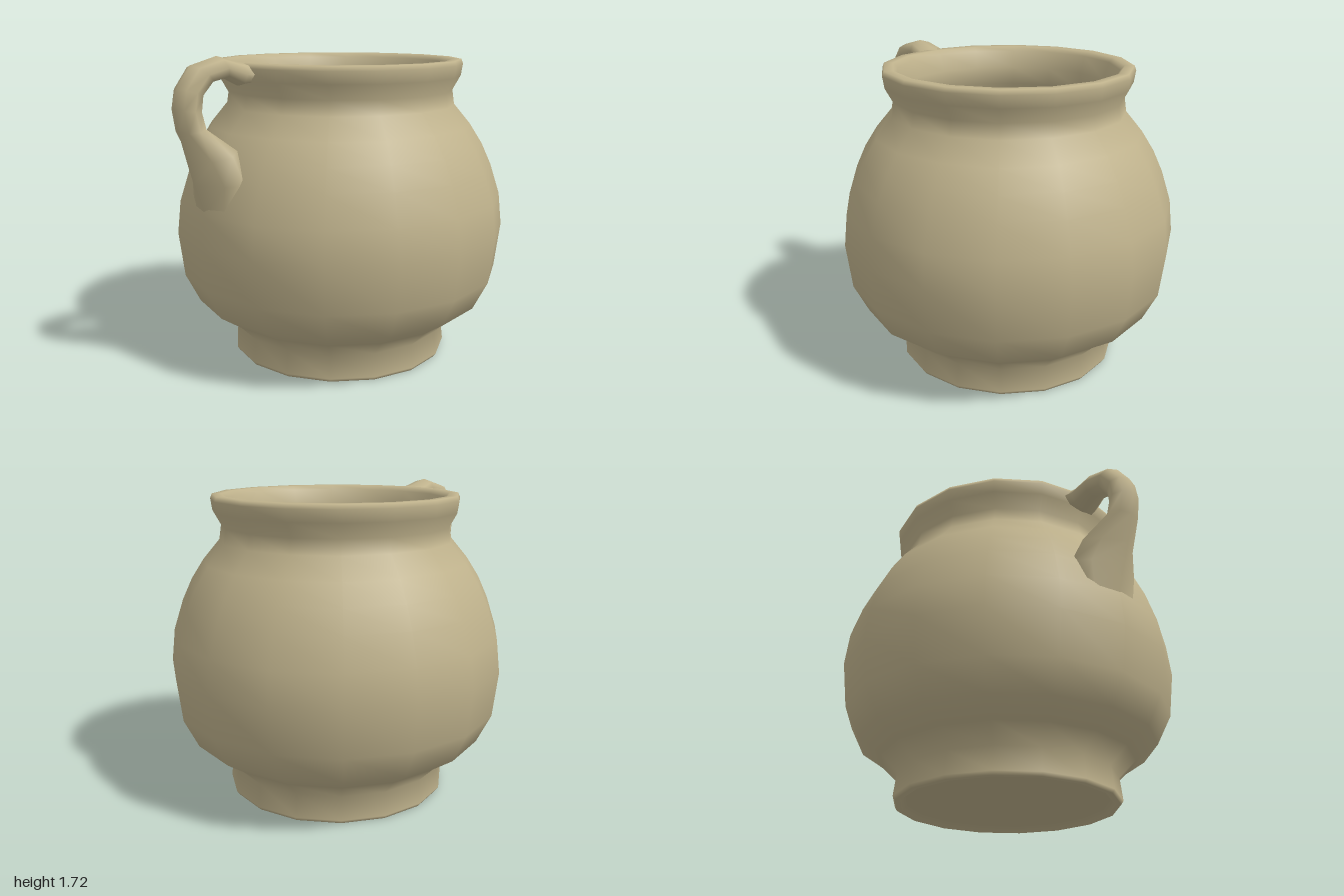
import * as THREE from 'three';

const material = new THREE.MeshStandardMaterial({ color: 0xbfb28c });
const SIDES = 16;
const AXIS_Z = -0.06; // the pot sits slightly back to make room for the handle

// Closed wall profile (radius, height): underside, outside, rim, inside, floor
const profile = [
  [0, 0.03], [0.555, 0.03], [0.58, 0.003], [0.612, 0], [0.625, 0.02], [0.61, 0.15],
  [0.705, 0.245], [0.83, 0.33], [0.91, 0.49], [0.94, 0.74], [0.92, 0.92],
  [0.865, 1.09], [0.81, 1.21], [0.74, 1.32], [0.648, 1.43], [0.636, 1.51],
  [0.68, 1.59], [0.69, 1.655], [0.68, 1.68], [0.63, 1.68], [0.605, 1.655],
  [0.57, 1.56], [0.575, 1.46], [0.66, 1.31], [0.79, 1.1], [0.865, 0.9],
  [0.885, 0.72], [0.85, 0.51], [0.75, 0.36], [0.5, 0.25], [0, 0.22],
];

function buildPot() {
  const points = profile.map(([r, y]) => new THREE.Vector2(r, y));
  const pot = new THREE.Mesh(new THREE.LatheGeometry(points, SIDES), material);
  pot.name = 'pot';
  pot.position.z = AXIS_Z;
  return pot;
}

// Handle sections: outer z, y; inner z, y; half width; sweep of the sides back to the wall
const sections = [
  [0.575, 1.68, 0.575, 1.57, 0.13, 0],
  [0.64, 1.69, 0.63, 1.565, 0.105, 0],
  [0.75, 1.72, 0.71, 1.605, 0.087, 0],
  [0.9, 1.68, 0.79, 1.59, 0.087, 0],
  [0.98, 1.57, 0.85, 1.53, 0.087, 0],
  [1.0, 1.47, 0.86, 1.45, 0.087, 0],
  [0.98, 1.35, 0.84, 1.37, 0.093, 0],
  [0.94, 1.2, 0.73, 1.26, 0.16, 0.4],
  [0.905, 1.08, 0.75, 1.1, 0.22, 0.38],
  [0.85, 0.92, 0.82, 0.92, 0.19, 0.2],
];

function buildHandle() {
  const ring = 8;
  const positions = [];
  const index = [];
  sections.forEach(([oz, oy, iz, iy, width, sweep], s) => {
    for (let i = 0; i < ring; i++) {
      const a = (i / ring) * Math.PI * 2;
      const t = (1 + Math.cos(a)) / 2;
      const x = width * Math.sin(a);
      positions.push(x, iy + (oy - iy) * t, iz + (oz - iz) * t - sweep * Math.abs(x));
      if (s === sections.length - 1) continue;
      const p = s * ring + i;
      const q = s * ring + (i + 1) % ring;
      index.push(p, p + ring, q, q, p + ring, q + ring);
    }
  });
  const geometry = new THREE.BufferGeometry();
  geometry.setAttribute('position', new THREE.Float32BufferAttribute(positions, 3));
  geometry.setIndex(index);
  geometry.computeVertexNormals();
  const handle = new THREE.Mesh(geometry, material);
  handle.name = 'handle';
  return handle;
}

export function createModel() {
  const model = new THREE.Group();
  model.name = 'handledPot';
  model.add(buildPot(), buildHandle());
  return model;
}
